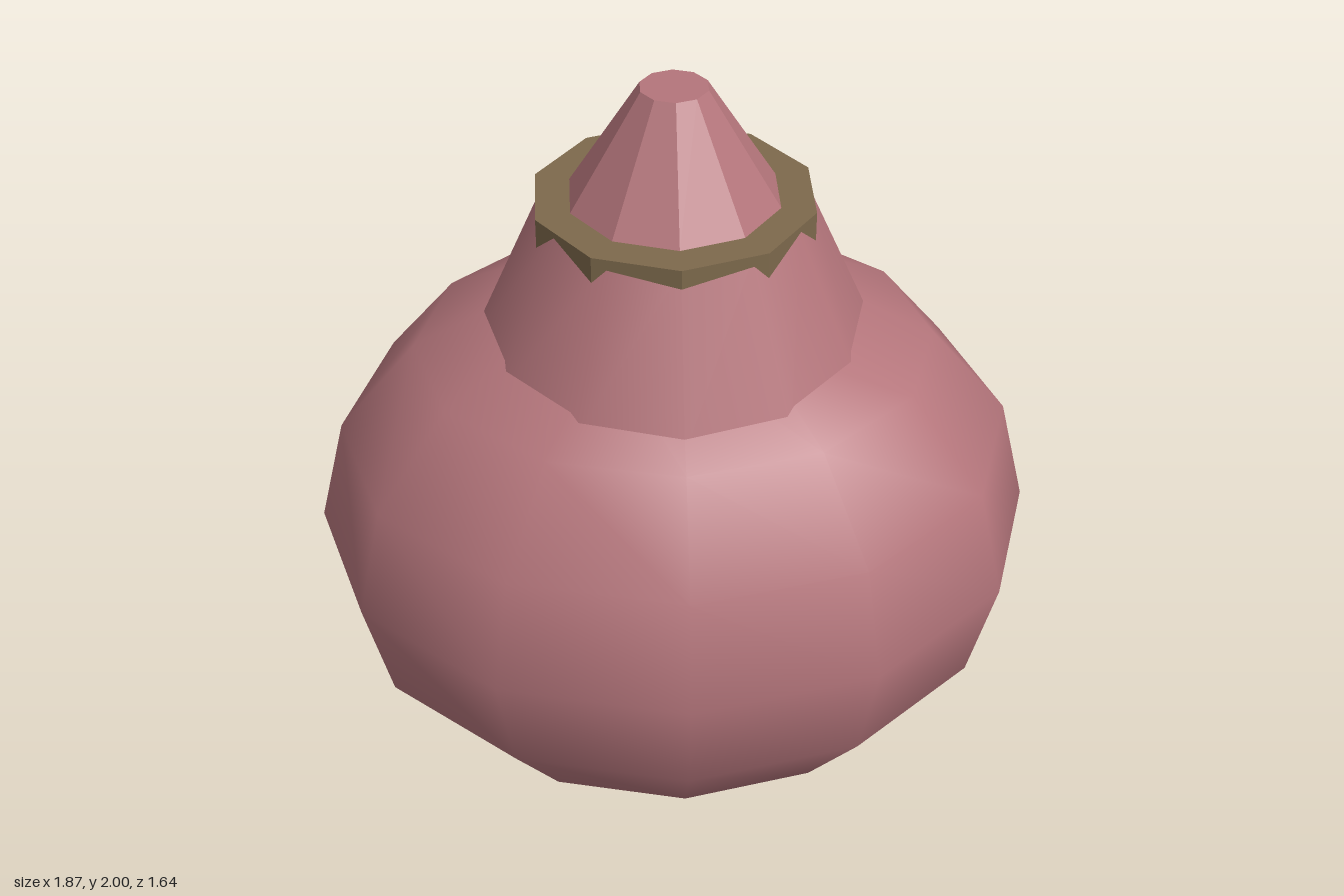
import * as THREE from 'three';

const pink = new THREE.MeshStandardMaterial({ color: 0xb4757b });
const pinkFlat = new THREE.MeshStandardMaterial({ color: 0xb4757b, flatShading: true });
const brown = new THREE.MeshStandardMaterial({ color: 0x7d694c, flatShading: true });

export function createModel() {
  const model = new THREE.Group();
  model.name = 'roundBottle';

  function add(name, geometry, material, y) {
    const mesh = new THREE.Mesh(geometry, material);
    mesh.name = name;
    mesh.position.y = y;
    model.add(mesh);
    return mesh;
  }

  // A tapered section running from height y0 to y1
  function taper(name, r0, r1, y0, y1, sides, material) {
    add(name, new THREE.CylinderGeometry(r1, r0, y1 - y0, sides), material, (y0 + y1) / 2);
  }

  // Squashed round body, wider than deep
  const ball = new THREE.SphereGeometry(1, 12, 8).scale(0.935, 0.75, 0.82);
  add('body', ball, pink, 0.755);

  // Shoulder cone sunk into the body
  taper('neck', 0.515, 0.337, 1.3, 1.7, 12, pink);

  // Ten-sided collar, its lower edge buried in the neck
  taper('collar', 0.355, 0.355, 1.6, 1.71, 10, brown);

  // Faceted blunt tip
  taper('tip', 0.267, 0.085, 1.71, 2.0, 10, pinkFlat);

  return model;
}
